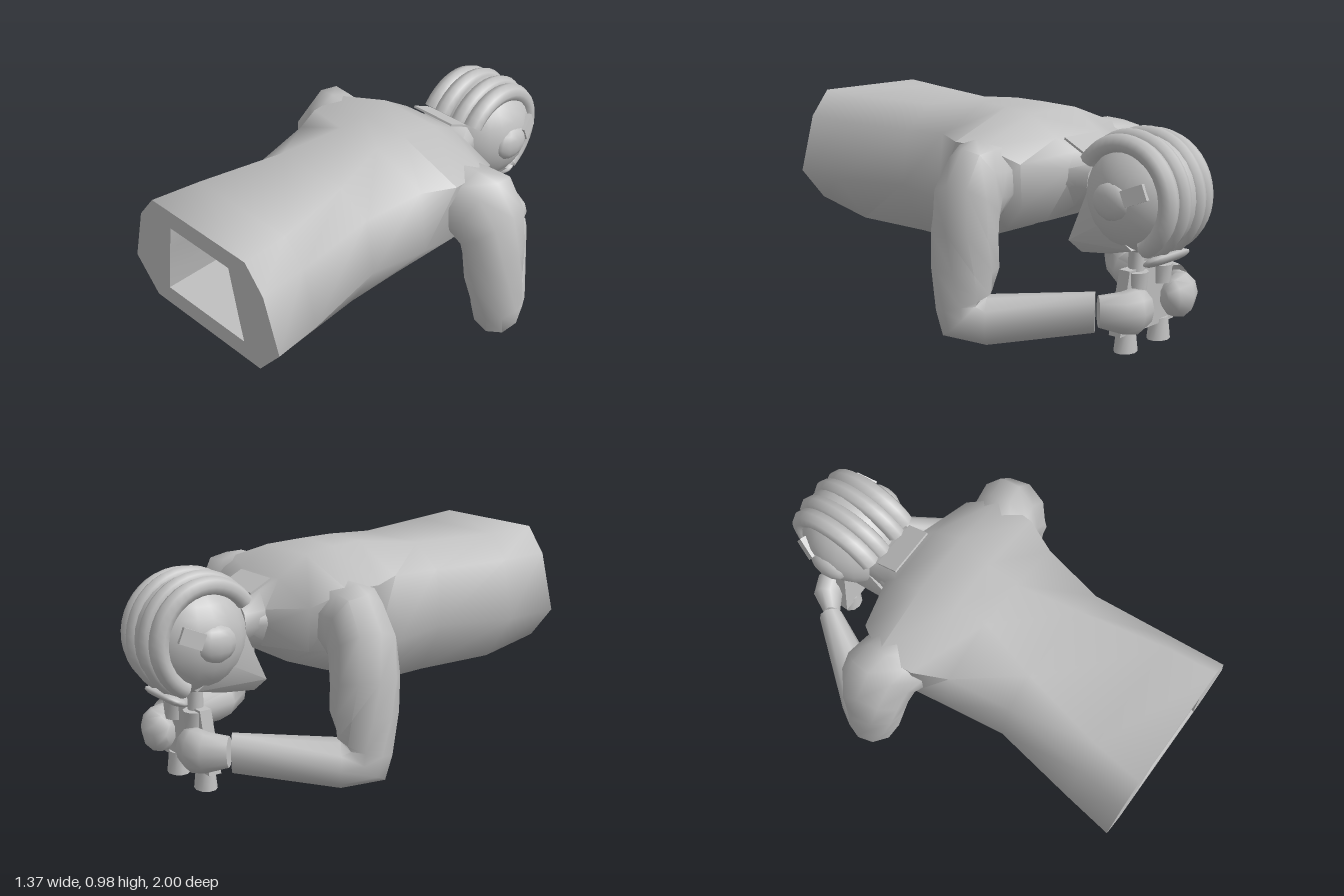
import * as THREE from 'three';
import { toCreasedNormals } from 'three/addons/utils/BufferGeometryUtils.js';
import { ConvexGeometry } from 'three/addons/geometries/ConvexGeometry.js';

const V = (x, y, z) => new THREE.Vector3(x, y, z);

// Skin a list of equal-length rings; faces are flipped if they end up inside out.
function loft(rings, { cap = false, loop = false, crease = 1.1 } = {}) {
  const n = rings[0].length, pos = [];
  const tri = (a, b, c) => pos.push(...a.toArray(), ...b.toArray(), ...c.toArray());
  const last = loop ? rings.length : rings.length - 1;
  for (let i = 0; i < last; i++) {
    const r = rings[i], s = rings[(i + 1) % rings.length];
    for (let j = 0; j < n; j++) {
      const k = (j + 1) % n;
      tri(r[j], s[j], r[k]);
      tri(r[k], s[j], s[k]);
    }
  }
  if (cap) {
    const a = rings[0], b = rings[rings.length - 1];
    for (let j = 1; j < n - 1; j++) {
      tri(a[0], a[j], a[j + 1]);
      tri(b[0], b[j + 1], b[j]);
    }
  }
  let volume = 0;
  for (let i = 0; i < pos.length; i += 9) {
    const [a, b, c] = [0, 3, 6].map(o => V(pos[i + o], pos[i + o + 1], pos[i + o + 2]));
    volume += a.dot(b.cross(c));
  }
  if (volume < 0) {
    for (let i = 0; i < pos.length; i += 9) {
      for (let c = 0; c < 3; c++) [pos[i + 3 + c], pos[i + 6 + c]] = [pos[i + 6 + c], pos[i + 3 + c]];
    }
  }
  const g = new THREE.BufferGeometry();
  g.setAttribute('position', new THREE.Float32BufferAttribute(pos, 3));
  return toCreasedNormals(g, crease);
}

// Oval ring around a centre, spanned by two half axes
function oval(c, u, w, n = 10) {
  return Array.from({ length: n }, (_, i) => {
    const t = i / n * Math.PI * 2;
    return c.clone().addScaledVector(u, Math.cos(t)).addScaledVector(w, Math.sin(t));
  });
}

// Eight-sided symmetric section from four half-profile points, top to bottom
const section = (z, ...half) => [
  ...half.map(([x, y]) => V(x, y, z)),
  ...half.slice().reverse().map(([x, y]) => V(-x, y, z)),
];

export function createModel() {
  const root = new THREE.Group();
  root.name = 'proneObserver';
  const grey = new THREE.MeshStandardMaterial({ color: 0xc0c0c0, side: THREE.DoubleSide });
  grey.name = 'plainGrey';
  const add = (parent, name, geo, x = 0, y = 0, z = 0) => {
    const m = new THREE.Mesh(geo, grey);
    m.name = name;
    m.position.set(x, y, z);
    parent.add(m);
    return m;
  };

  // Torso: outer shell up to the neck, then back through the hollow inside
  add(root, 'torso', loft([
    section(1, [.285, .978], [.38, .86], [.455, .6], [.33, .45]),
    section(.77, [.26, .965], [.36, .85], [.42, .58], [.26, .365]),
    section(.38, [.18, .955], [.32, .85], [.365, .6], [.23, .36]),
    section(.1, [.11, .982], [.37, .87], [.405, .58], [.23, .352]),
    section(-.05, [.12, .978], [.44, .86], [.43, .58], [.28, .43]),
    section(-.22, [.15, .965], [.45, .86], [.42, .6], [.3, .48]),
    section(-.36, [.14, .875], [.37, .79], [.36, .6], [.2, .52]),
    section(-.43, [.1, .82], [.14, .75], [.15, .68], [.1, .58]),
    section(-.53, [.09, .78], [.13, .74], [.14, .68], [.09, .6]),
    section(-.53, [.08, .77], [.12, .73], [.13, .68], [.08, .61]),
    section(-.3, [.12, .83], [.155, .76], [.19, .69], [.12, .55]),
    section(-.24, [.17, .835], [.195, .77], [.22, .65], [.235, .545]),
    section(1, [.18, .89], [.2, .77], [.22, .65], [.24, .54]),
  ], { loop: true }));

  // Arms: sloping shoulder, bent elbow and forearm reaching in to the binoculars
  const hinge = V(.79, 0, -.6), back = V(.6, 0, .79);
  const miter = V(.42, -.71, .56), down = V(0, -1, 0);
  const k = (v, s) => v.clone().multiplyScalar(s);
  const armRings = [
    oval(V(.33, .72, -.165), V(0, .165, 0), V(0, 0, .16)),
    oval(V(.42, .71, -.175), V(.025, .175, 0), V(0, 0, .17)),
    oval(V(.475, .69, -.195), V(.072, .17, 0), V(-.01, -.03, .16)),
    oval(V(.525, .62, -.2), V(.12, .1, 0), V(0, -.02, .16)),
    oval(V(.545, .5, -.203), V(.128, .02, -.02), V(.02, 0, .155)),
    oval(V(.55, .36, -.21), V(.125, 0, -.05), V(.05, 0, .14)),
    oval(V(.567, .22, -.22), k(hinge, .122), V(.07, -.04, .1)),
    oval(V(.568, .165, -.225), k(hinge, .12), k(miter, .135)),
    oval(V(.52, .142, -.31), k(hinge, .118), k(down, .106)),
    oval(V(.29, .205, -.705), k(hinge, .056), k(down, .088)),
  ];
  for (const s of [1, -1]) {
    const side = s > 0 ? 'left' : 'right';
    const rings = armRings.map(r => r.map(p => V(p.x * s, p.y, p.z)));
    add(root, side + 'Arm', loft(rings));

    // Hand: rounded mitt closing around a barrel
    const handRings = [
      oval(V(.275, .205, -.71), V(.025, 0, -.03), V(0, -.07, 0)),
      oval(V(.215, .2, -.785), V(.035, 0, -.06), V(0, -.09, 0)),
      oval(V(.16, .2, -.81), V(.015, 0, -.07), V(0, -.1, 0)),
      oval(V(.105, .2, -.805), V(-.01, 0, -.06), V(0, -.085, 0)),
      oval(V(.075, .2, -.79), V(-.01, 0, -.03), V(0, -.045, 0)),
    ].map(r => r.map(p => V(p.x * s, p.y, p.z)));
    add(root, side + 'Hand', loft(handRings, { cap: true }));
  }

  // Binoculars: flared body, two barrels and two eyepieces, pointing down
  const binoculars = new THREE.Group();
  binoculars.name = 'binoculars';
  root.add(binoculars);
  const block = (y, x, z0, z1) => [V(x, y, z0), V(x, y, z1), V(-x, y, z1), V(-x, y, z0)];
  add(binoculars, 'body', loft([
    block(.08, .19, -.7, -.76), block(.36, .145, -.715, -.77),
  ], { cap: true, crease: .3 }));
  const tube = (top, bottom, h) => toCreasedNormals(new THREE.CylinderGeometry(top, bottom, h, 10), .8);
  for (const s of [1, -1]) {
    add(binoculars, 'barrel', tube(.045, .057, .1), .117 * s, .05, -.735).scale.z = .85;
    add(binoculars, 'eyepieceBase', tube(.052, .045, .08), .085 * s, .31, -.76);
    add(binoculars, 'eyepiece', tube(.034, .034, .1), .075 * s, .39, -.75);
  }

  // Head: skull, jaw and padded helmet
  const head = new THREE.Group();
  head.name = 'head';
  root.add(head);
  add(head, 'skull', new THREE.SphereGeometry(1, 20, 14), 0, .66, -.73).scale.set(.235, .255, .25);
  const half = [
    [.06, .37, -.44], [.12, .43, -.415], [.13, .56, -.5], [.14, .66, -.53],
    [.09, .4, -.62], [.15, .45, -.78], [.18, .56, -.66],
  ];
  const jaw = half.flatMap(([x, y, z]) => [V(x, y, z), V(-x, y, z)]);
  add(head, 'jaw', toCreasedNormals(new ConvexGeometry(jaw), .6));

  // Padded ribs running from the nape over the crown to the brow
  for (const [x, r, wide] of [[.052, .242, 1], [.122, .228, 1.1]]) {
    for (const s of [1, -1]) {
      const rib = new THREE.TorusGeometry(r, .042, 8, 22, 3.55);
      rib.rotateZ(-1.05).rotateY(Math.PI / 2);
      add(head, 'helmetRib', rib, x * s, .66, -.712).scale.x = wide;
    }
  }
  for (const s of [1, -1]) {
    add(head, 'earPad', new THREE.SphereGeometry(1, 12, 8), .2 * s, .66, -.72).scale.set(.055, .085, .1);
    const tab = add(head, 'earTab', new THREE.BoxGeometry(.05, .07, .1), .2 * s, .7, -.83);
    tab.rotation.set(.4, .3 * s, 0);
  }
  add(head, 'browPad', new THREE.CapsuleGeometry(.06, .14, 4, 10).rotateZ(Math.PI / 2).scale(1, .35, 1), 0, .405, -.85)
    .rotation.x = .46;
  add(head, 'neckFlap', new THREE.BoxGeometry(.23, .01, .115), 0, .847, -.435).rotation.x = -.46;

  return root;
}
